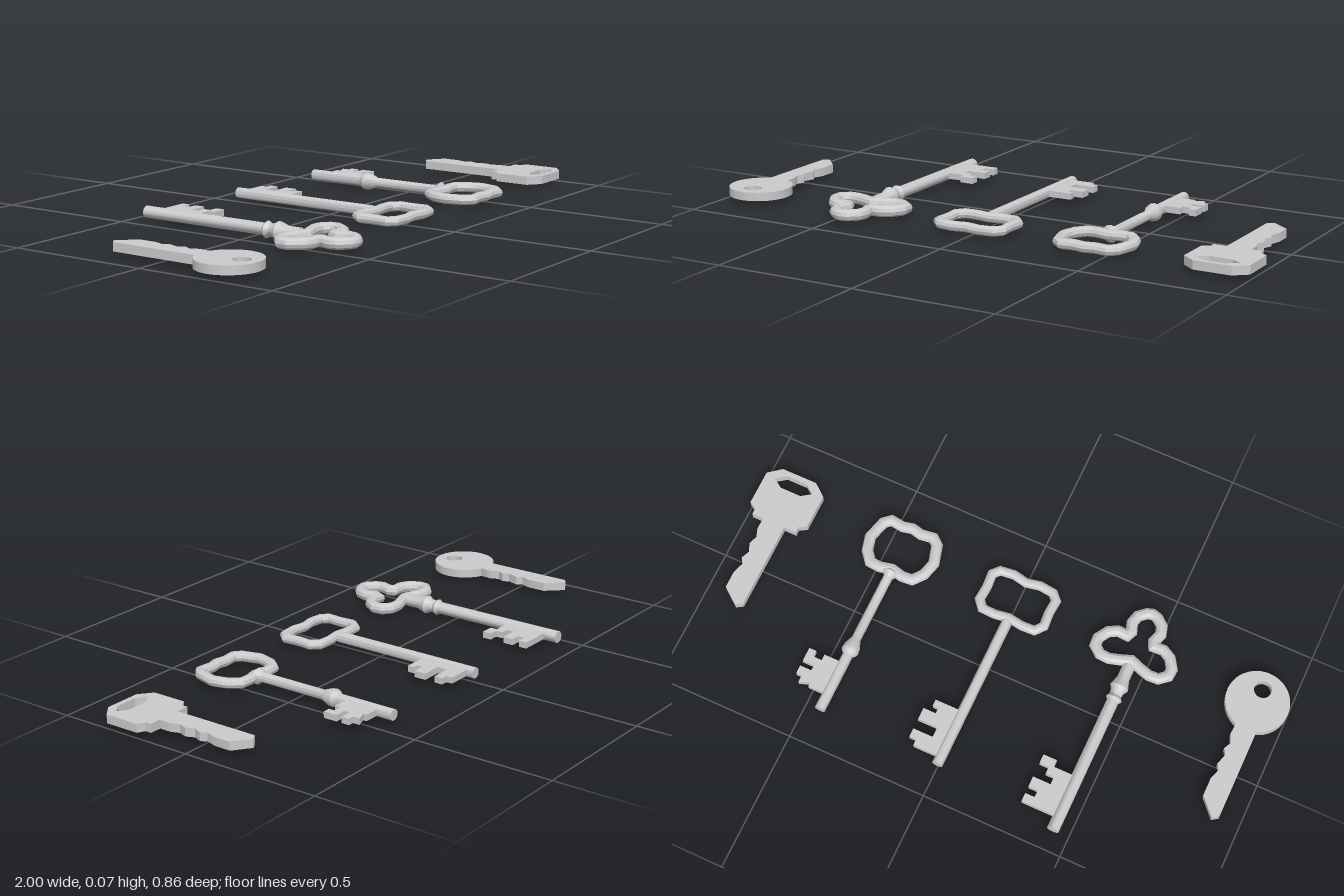
import * as THREE from 'three';
import { toCreasedNormals } from 'three/addons/utils/BufferGeometryUtils.js';

const MID = 0.035; // height of every key's centre plane
const material = new THREE.MeshStandardMaterial({ color: 0xcccccc });

function add(group, name, geometry, crease = 0.6) {
  const mesh = new THREE.Mesh(toCreasedNormals(geometry, crease), material);
  mesh.name = name;
  group.add(mesh);
}

const toShape = (pts) => new THREE.Shape(pts.map(([x, z]) => new THREE.Vector2(x, z)));

// Flat plate lying in the xz plane, centred on y = 0
function plate(shape, thickness) {
  const g = new THREE.ExtrudeGeometry(shape, { depth: thickness, bevelEnabled: false, curveSegments: 20 });
  return g.translate(0, 0, -thickness / 2).rotateX(Math.PI / 2);
}

// Turned rod along z from [radius, z] pairs
function rod(profile) {
  const pts = profile.map(([r, z]) => new THREE.Vector2(r, z));
  return new THREE.LatheGeometry(pts, 12).rotateX(Math.PI / 2);
}

// Closed mitred tube; half = right-hand side of the loop, from top to bottom
function loopTube(half, rWide, rHigh, sides = 10) {
  const left = half.slice(1, -1).reverse().map(([x, z]) => [-x, z]);
  const path = [...half, ...left].map(([x, z]) => new THREE.Vector2(x, z));
  const n = path.length, pos = [], index = [];
  path.forEach((p, i) => {
    const a = p.clone().sub(path[(i + n - 1) % n]).normalize();
    const b = path[(i + 1) % n].clone().sub(p).normalize();
    const t = a.clone().add(b).normalize();
    const miter = Math.min(1 / Math.max(t.dot(a), 0.1), 1.3);
    for (let j = 0; j < sides; j++) {
      const ang = (j / sides) * Math.PI * 2;
      const w = Math.cos(ang) * rWide * miter;
      pos.push(p.x + t.y * w, Math.sin(ang) * rHigh, p.y - t.x * w);
      const k = (j + 1) % sides, m = ((i + 1) % n) * sides;
      index.push(i * sides + j, i * sides + k, m + j, i * sides + k, m + k, m + j);
    }
  });
  const g = new THREE.BufferGeometry();
  g.setAttribute('position', new THREE.Float32BufferAttribute(pos, 3));
  g.setIndex(index);
  return g;
}

function newKey(parent, name, x) {
  const key = new THREE.Group();
  key.name = name;
  key.position.set(x, MID, 0);
  parent.add(key);
  return key;
}

// Old-style key: turned shaft, looped bow and toothed bit
function oldKey(parent, name, x, { shaft, bow, bowWide, bowHigh, bit }) {
  const key = newKey(parent, name, x);
  add(key, 'shaft', rod(shaft));
  add(key, 'bow', loopTube(bow, bowWide, bowHigh));
  add(key, 'bit', plate(toShape(bit), 0.022));
}

export function createModel() {
  const model = new THREE.Group();
  model.name = 'keySet';

  // Flat key with a round head
  const round = toShape([
    [-0.037, 0.156], [-0.037, -0.165], [-0.015, -0.18], [0.04, -0.12], [0.04, -0.055],
    [0.027, -0.02], [0.04, 0], [0.027, 0.04], [0.04, 0.06], [0.027, 0.085], [0.04, 0.115], [0.037, 0.156],
  ]);
  round.absarc(0, 0.26, 0.11, -1.23, 4.37, false);
  round.holes.push(new THREE.Path().absarc(0, 0.307, 0.03, 0, Math.PI * 2, true));
  add(newKey(model, 'roundFlatKey', -0.89), 'flatBlank', plate(round, 0.03));

  // Key with a three-lobed bow and two collars
  oldKey(model, 'trefoilKey', -0.444, {
    shaft: [[0, -0.435], [0.021, -0.435], [0.021, 0.06], [0.029, 0.07], [0.021, 0.083],
      [0.024, 0.1], [0.033, 0.115], [0.022, 0.15], [0.022, 0.2], [0, 0.21]],
    bow: [[0, 0.222], [0.04, 0.207], [0.075, 0.197], [0.108, 0.199], [0.135, 0.222], [0.137, 0.25],
      [0.115, 0.285], [0.085, 0.302], [0.05, 0.3], [0.042, 0.318], [0.053, 0.35], [0.045, 0.38], [0.02, 0.402], [0, 0.408]],
    bowWide: 0.02, bowHigh: 0.02,
    bit: [[0.01, -0.39], [0.08, -0.39], [0.134, -0.39], [0.134, -0.36], [0.1, -0.36], [0.1, -0.335],
      [0.134, -0.335], [0.134, -0.297], [0.07, -0.297], [0.07, -0.27], [0.1, -0.27], [0.1, -0.245],
      [0.134, -0.245], [0.134, -0.212], [0.085, -0.212], [0.085, -0.237], [0.01, -0.237]],
  });

  // Plain key with a rounded rectangular bow
  oldKey(model, 'rectangularKey', 0, {
    shaft: [[0, -0.39], [0.019, -0.39], [0.019, 0.175], [0, 0.185]],
    bow: [[0, 0.189], [0.05, 0.181], [0.098, 0.183], [0.121, 0.211], [0.117, 0.262],
      [0.121, 0.313], [0.1, 0.336], [0.05, 0.342], [0, 0.332]],
    bowWide: 0.017, bowHigh: 0.017,
    bit: [[0.01, -0.365], [0.1, -0.365], [0.1, -0.343], [0.125, -0.343], [0.125, -0.312], [0.053, -0.312],
      [0.053, -0.275], [0.125, -0.275], [0.125, -0.232], [0.08, -0.232], [0.08, -0.212],
      [0.1, -0.212], [0.1, -0.188], [0.01, -0.188]],
  });

  // Key with a flared bow and one collar
  oldKey(model, 'flaredKey', 0.443, {
    shaft: [[0, -0.38], [0.019, -0.38], [0.019, -0.165], [0.027, -0.157], [0.031, -0.148],
      [0.029, -0.13], [0.02, -0.108], [0.017, -0.1], [0.017, 0.15], [0.03, 0.17], [0, 0.19]],
    bow: [[0, 0.184], [0.043, 0.174], [0.08, 0.177], [0.108, 0.211], [0.122, 0.262],
      [0.104, 0.329], [0.08, 0.35], [0.035, 0.344], [0, 0.352]],
    bowWide: 0.02, bowHigh: 0.018,
    bit: [[0.01, -0.325], [0.07, -0.325], [0.07, -0.312], [0.107, -0.325], [0.107, -0.3], [0.128, -0.3],
      [0.128, -0.27], [0.086, -0.27], [0.086, -0.25], [0.128, -0.25], [0.128, -0.2], [0.102, -0.2],
      [0.102, -0.222], [0.07, -0.222], [0.07, -0.2], [0.01, -0.2]],
  });

  // Flat key with an angular head and a wide slot
  const angular = toShape([
    [-0.04, 0.163], [-0.04, -0.15], [-0.016, -0.165], [0.043, -0.12], [0.043, -0.06],
    [0.03, -0.02], [0.043, 0], [0.03, 0.03], [0.043, 0.06], [0.032, 0.09], [0.043, 0.12], [0.043, 0.163],
    [0.085, 0.163], [0.085, 0.185], [0.111, 0.2], [0.111, 0.325], [0.065, 0.362],
    [-0.065, 0.362], [-0.111, 0.325], [-0.111, 0.2], [-0.085, 0.185], [-0.085, 0.163],
  ]);
  angular.holes.push(toShape([[-0.072, 0.318], [-0.037, 0.294], [0.04, 0.294],
    [0.074, 0.318], [0.04, 0.343], [-0.037, 0.343]]));
  add(newKey(model, 'angularFlatKey', 0.889), 'flatBlank', plate(angular, 0.03));

  return model;
}
